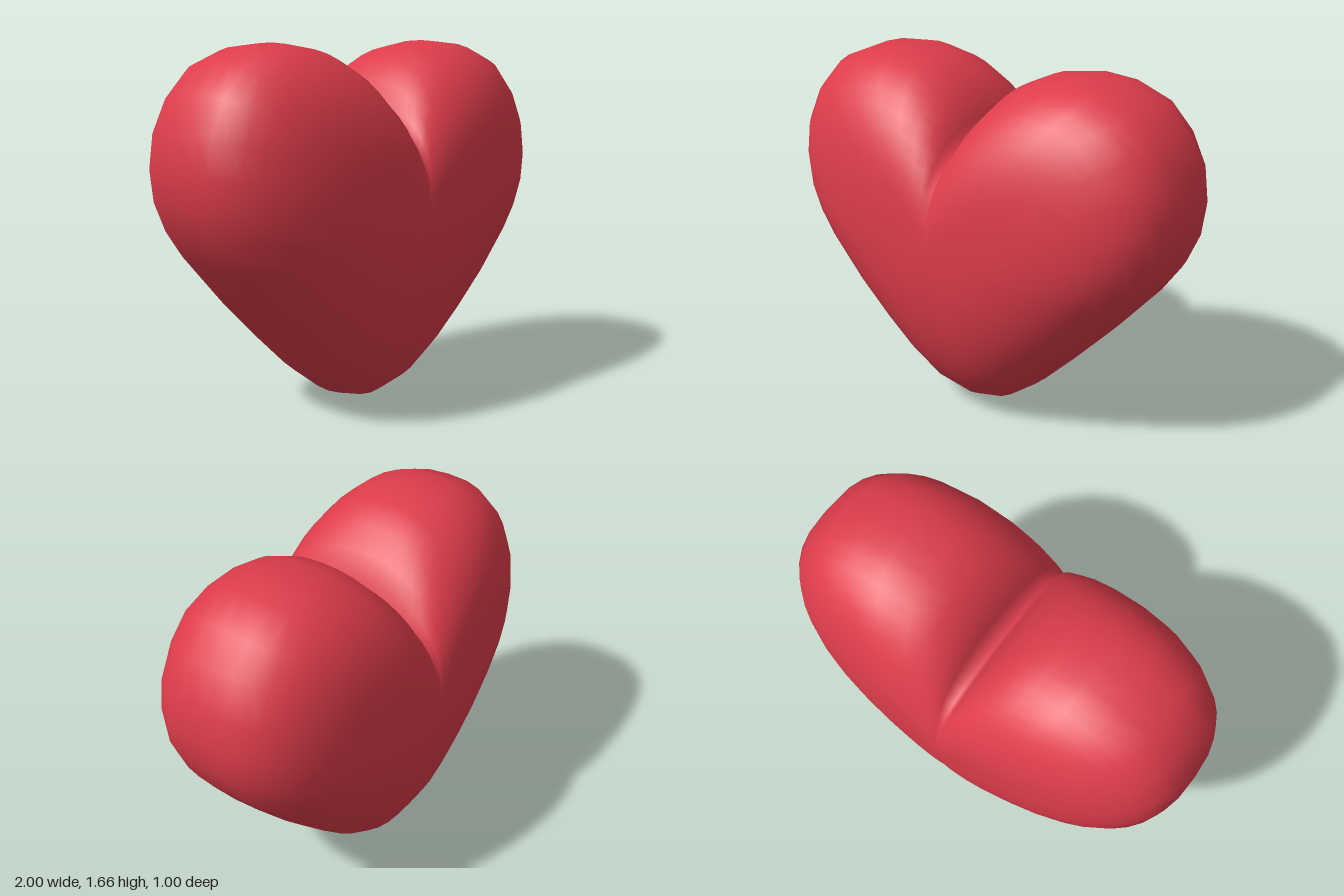
import * as THREE from 'three';
import { mergeVertices } from 'three/addons/utils/BufferGeometryUtils.js';

// Half outline, from the cleft over the lobe down to the tip
const HALF = [
  [0, 1.27], [0.045, 1.39], [0.1, 1.49], [0.19, 1.58], [0.31, 1.635], [0.48, 1.66],
  [0.64, 1.645], [0.8, 1.58], [0.91, 1.46], [0.98, 1.31], [1, 1.15], [0.98, 1.0],
  [0.92, 0.86], [0.83, 0.73], [0.64, 0.51], [0.46, 0.32], [0.3, 0.16], [0.15, 0.045], [0, 0],
];
const CENTRE_Y = 0.9, DEPTH = 0.5, RINGS = 24, FILL_Y = 1.58;

// Rings of the outline shrink from the rim to a pole on the front and back
function heartGeometry() {
  const mirrored = HALF.slice(1, -1).reverse().map(([x, y]) => [-x, y]);
  const outline = [...HALF, ...mirrored];
  const n = outline.length;
  const positions = [], index = [];
  for (let j = 0; j <= RINGS; j++) {
    const phi = (j / RINGS) * Math.PI;
    const sin = j % RINGS === 0 ? 0 : Math.sin(phi);
    const cos = j * 2 === RINGS ? 0 : Math.cos(phi);
    for (const [x, y] of outline) {
      // Fuller, squarer rounding towards the sides
      const dy = y - CENTRE_Y;
      const power = 2 / (2 + 0.8 * Math.abs(x) / Math.hypot(x, dy));
      const s = sin ** power;
      const z = DEPTH * Math.sign(cos) * Math.abs(cos) ** power;
      // The cleft fades out towards the middle of each face
      const fill = Math.abs(x) < 0.48 && dy > 0 ? Math.max(0, FILL_Y - y) * (1 - s) : 0;
      positions.push(x * s, CENTRE_Y + (dy + fill) * s, z);
    }
  }
  for (let j = 0; j < RINGS; j++) {
    for (let i = 0; i < n; i++) {
      const a = j * n + i, b = j * n + (i + 1) % n;
      if (j < RINGS - 1) index.push(a, b + n, a + n);
      if (j > 0) index.push(a, b, b + n);
    }
  }
  const geometry = new THREE.BufferGeometry();
  geometry.setAttribute('position', new THREE.Float32BufferAttribute(positions, 3));
  geometry.setIndex(index);
  const merged = mergeVertices(geometry, 1e-5);
  merged.computeVertexNormals();
  return merged;
}

export function createModel() {
  const group = new THREE.Group();
  group.name = 'heartModel';
  const heart = new THREE.Mesh(heartGeometry(), new THREE.MeshStandardMaterial({ color: 0xdd3c4b }));
  heart.name = 'heart';
  group.add(heart);
  return group;
}
